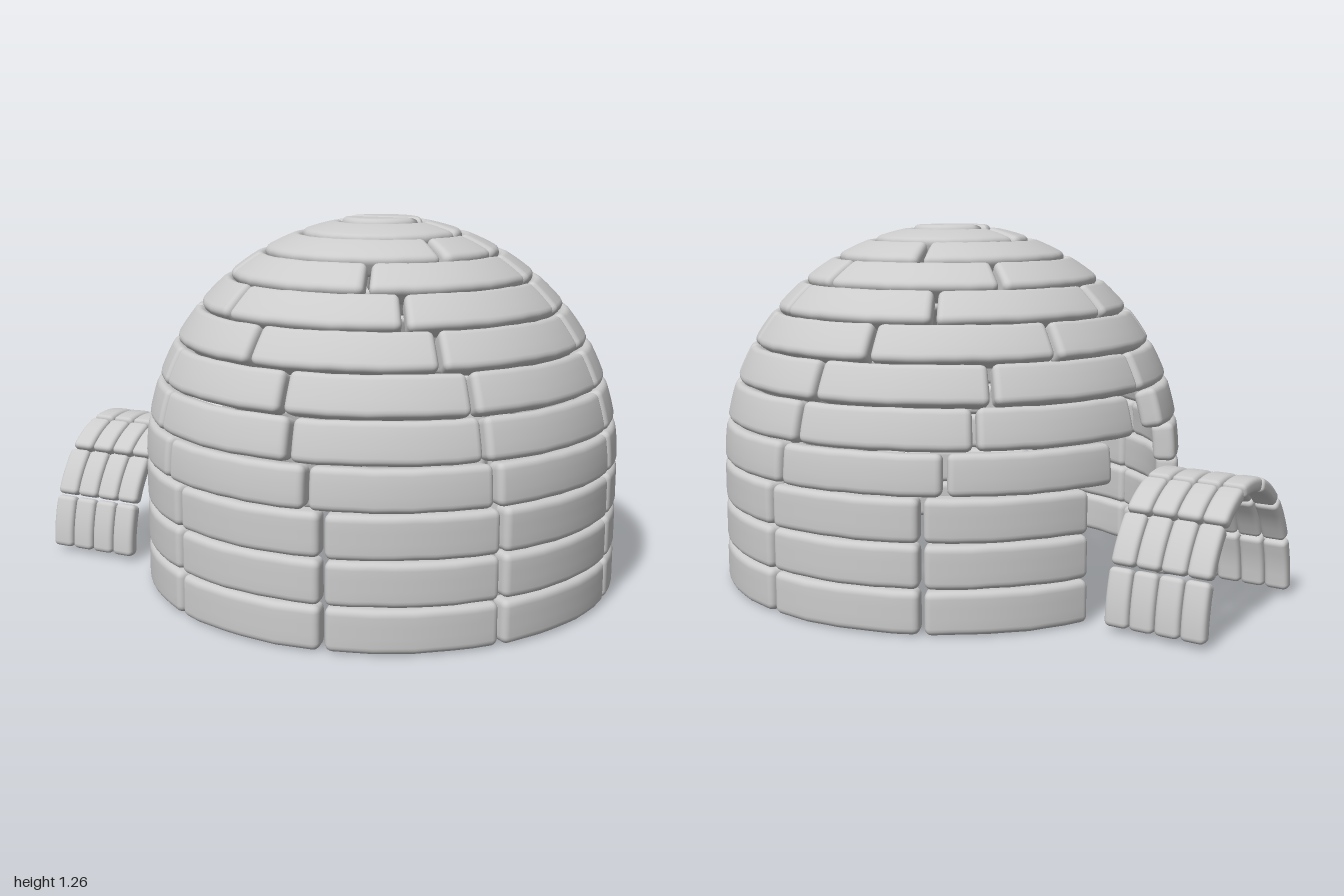
import * as THREE from 'three';
import { mergeVertices } from 'three/addons/utils/BufferGeometryUtils.js';

const DEG = Math.PI / 180;
const CX = 0.18, R = 0.82, WALL = 0.44, THICK = 0.08;
const material = new THREE.MeshStandardMaterial({ color: 0xcccccc });

// Grid positions along one side: tight in the rounded corners, even between them
function stops(half, r, inner) {
  const corner = [0, 0.3, 0.62, 1].map(k => -half + k * r);
  const middle = [];
  for (let i = 1; i < inner; i++) middle.push(-half + r + (2 * (half - r) * i) / inner);
  return [...corner, ...middle, ...corner.map(v => -v).reverse()];
}

// Pillow-edged block of size w x h x d, bent into place by the rule bend(point)
function bentBlock(w, h, d, r, inner, bend) {
  const half = [w / 2, h / 2, d / 2];
  const grid = [stops(half[0], r, inner), stops(half[1], r, 3), stops(half[2], r, 1)];
  const n = grid.map(g => g.length - 1);
  let geo = new THREE.BoxGeometry(1, 1, 1, n[0], n[1], n[2]);
  geo.deleteAttribute('normal');
  geo.deleteAttribute('uv');
  geo = mergeVertices(geo);
  const pos = geo.attributes.position;
  const p = new THREE.Vector3(), core = new THREE.Vector3();
  for (let i = 0; i < pos.count; i++) {
    p.fromBufferAttribute(pos, i);
    p.set(...[p.x, p.y, p.z].map((v, k) => grid[k][Math.round((v + 0.5) * n[k])]));
    core.set(...[p.x, p.y, p.z].map((v, k) => THREE.MathUtils.clamp(v, r - half[k], half[k] - r)));
    p.sub(core).setLength(r).add(core);
    bend(p);
    pos.setXYZ(i, p.x, p.y, p.z);
  }
  geo.computeVertexNormals();
  return geo;
}

function addMesh(group, geo, name) {
  const mesh = new THREE.Mesh(geo, material);
  mesh.name = name;
  group.add(mesh);
  return mesh;
}

// One wall block between angles a0 and a1; band < 0 is the upright wall, band >= 0 the dome
function wallBlock(band, a0, a1) {
  const height = band < 0 ? WALL / 3 : R * 10 * DEG;
  const lat = (band * 10 + 5) * DEG;
  const rMid = band < 0 ? R : R * Math.cos(lat);
  const mid = ((a0 + a1) / 2) * DEG;
  const width = rMid * (a1 - a0) * DEG - 0.014;
  const inner = Math.max(4, Math.ceil((a1 - a0) / 5));
  return bentBlock(width, height - 0.004, THICK, 0.024, inner, p => {
    const a = mid - p.x / rMid;
    const rad = R - THICK / 2 + p.z;
    // slightly hand-cut upper and lower edges
    const y = p.y + 0.0018 * Math.sin(a * 31 + band * 2) * Math.sin(a * 17);
    let ring = rad, up = (band + 3.5) * height + y;
    if (band < 0) up = Math.max(0, up);
    else {
      const phi = lat + y / R;
      ring = rad * Math.cos(phi);
      up = WALL + rad * Math.sin(phi);
    }
    p.set(CX + ring * Math.cos(a), up, ring * Math.sin(a));
  });
}

// Evenly spaced joints, from 0 to end
const joints = (count, end) => Array.from({ length: count + 1 }, (_, i) => (end * i) / count);

function buildDome() {
  const dome = new THREE.Group();
  dome.name = 'dome';
  // courses that stop short of the doorway on the -x side, built in mirrored halves
  const open = [[-3, 158], [-2, 158], [-1, 158], [0, 165], [1, 174]];
  for (const [band, end] of open) {
    const j = joints(4, end);
    for (let i = 0; i < 4; i++) {
      addMesh(dome, wallBlock(band, j[i], j[i + 1]), 'wallBlock');
      addMesh(dome, wallBlock(band, -j[i + 1], -j[i]), 'wallBlock');
    }
  }
  // closed courses, with fewer blocks towards the top
  const closed = [joints(8, 360), joints(7, 360), joints(6, 360), joints(5, 360), [0, 37, 250, 360], joints(2, 360)];
  closed.forEach((j, k) => {
    for (let i = 0; i < j.length - 1; i++) {
      addMesh(dome, wallBlock(k + 2, j[i], j[i + 1]), 'domeBlock');
    }
  });
  // two half-round blocks close the crown
  const bevel = 0.022, rim = 0.138 - bevel;
  const shape = new THREE.Shape();
  shape.absarc(0, 0, rim, 0.25, Math.PI - 0.25, false);
  shape.closePath();
  for (const turn of [0, Math.PI]) {
    let geo = new THREE.ExtrudeGeometry(shape, {
      depth: THICK - 2 * bevel, bevelEnabled: true, bevelThickness: bevel,
      bevelSize: bevel, bevelSegments: 4, curveSegments: 20,
    });
    geo.deleteAttribute('normal');
    geo.deleteAttribute('uv');
    geo = mergeVertices(geo, 1e-4);
    geo.computeVertexNormals();
    geo.rotateX(-Math.PI / 2);
    geo.rotateY(turn);
    geo.translate(CX, WALL + R - THICK + bevel - 0.003, 0);
    addMesh(dome, geo, 'crownBlock');
  }
  return dome;
}

// Arched entrance: four rows of seven blocks on an elliptical arch
function buildEntrance() {
  const entrance = new THREE.Group();
  entrance.name = 'entranceArch';
  const A = 0.36, B = 0.455, base = 0.015, depth = 0.05, rows = 4, count = 7;
  const pitch = 0.35 / rows, step = Math.PI / count, mean = 0.41;
  for (let row = 0; row < rows; row++) {
    const cx = -1 + pitch * (row + 0.5);
    for (let i = 0; i < count; i++) {
      const mid = (i + 0.5) * step;
      const geo = bentBlock(mean * step - 0.006, pitch - 0.004, depth, 0.018, 4, p => {
        const t = mid + p.x / mean;
        const normal = new THREE.Vector2(Math.cos(t) / A, Math.sin(t) / B).normalize();
        const off = p.z - depth / 2;
        p.set(cx - p.y, base + B * Math.sin(t) + normal.y * off, A * Math.cos(t) + normal.x * off);
      });
      addMesh(entrance, geo, 'archBlock');
    }
  }
  return entrance;
}

export function createModel() {
  const model = new THREE.Group();
  model.name = 'igloo';
  model.add(buildDome(), buildEntrance());
  return model;
}
